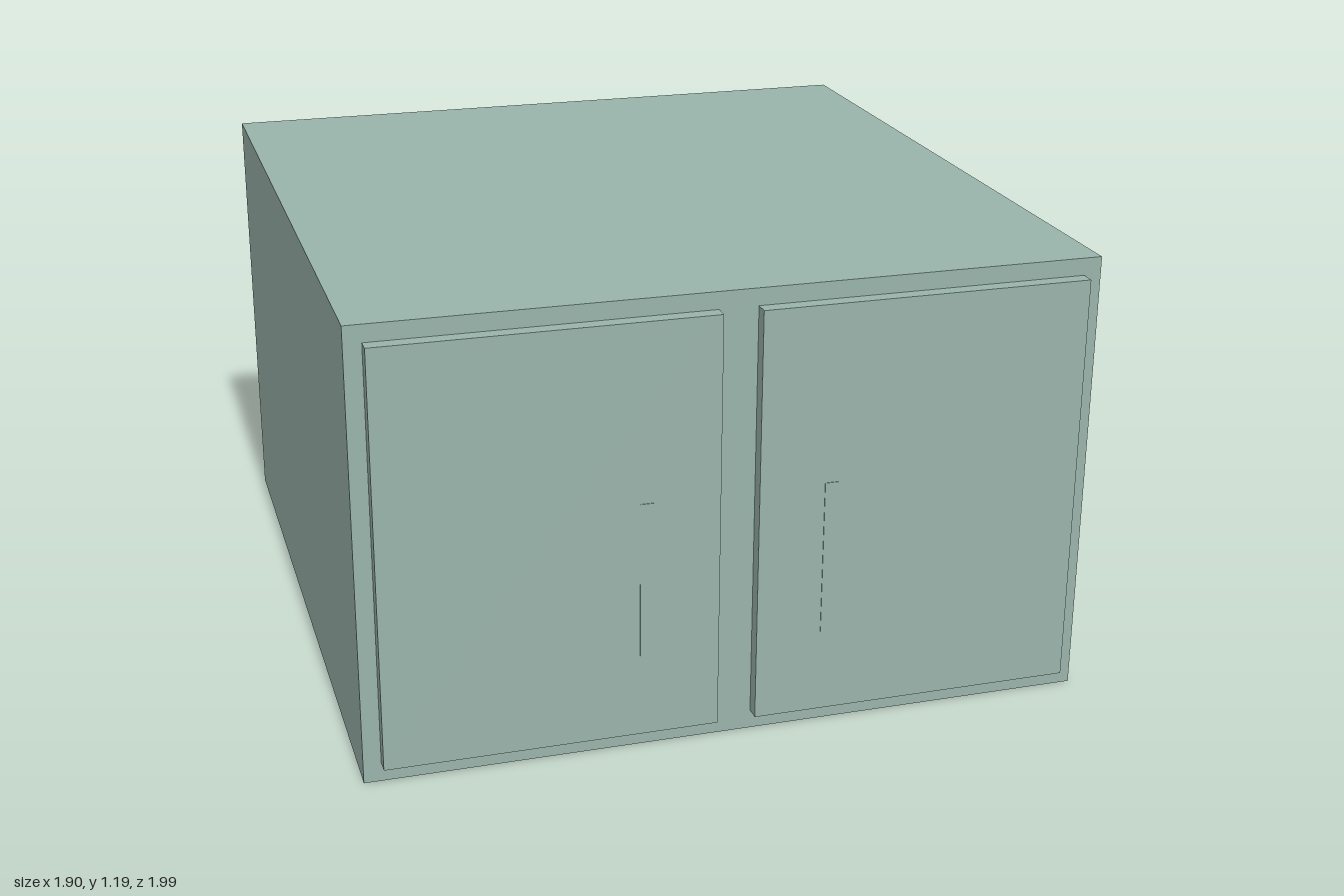
import * as THREE from 'three';

export function createModel() {
  const model = new THREE.Group();
  model.name = 'cabinet';

  const paint = new THREE.MeshStandardMaterial({ color: 0x9ab4ab });
  paint.name = 'sage green paint';

  // Box given by its lower and upper corners
  const box = (name, [x0, y0, z0], [x1, y1, z1]) => {
    const mesh = new THREE.Mesh(new THREE.BoxGeometry(x1 - x0, y1 - y0, z1 - z0), paint);
    mesh.position.set((x0 + x1) / 2, (y0 + y1) / 2, (z0 + z1) / 2);
    mesh.name = name;
    return mesh;
  };

  // Carcass
  model.add(box('carcass', [-0.95, 0, -1], [0.95, 1.19, 0.952]));

  // Pair of doors, each with a nearly flush upright handle
  for (const [side, s] of [['left', 1], ['right', -1]]) {
    const span = (a, b) => (s > 0 ? [a, b] : [-b, -a]);
    const [d0, d1] = span(0.05, 0.905);
    const [h0, h1] = span(0.22, 0.255);
    const leaf = new THREE.Group();
    leaf.name = side + 'Door';
    leaf.add(
      box(side + 'DoorPanel', [d0, 0.05, 0.952], [d1, 1.145, 0.99]),
      box(side + 'Handle', [h0, 0.27, 0.985], [h1, 0.68, 0.992]),
    );
    model.add(leaf);
  }

  return model;
}
